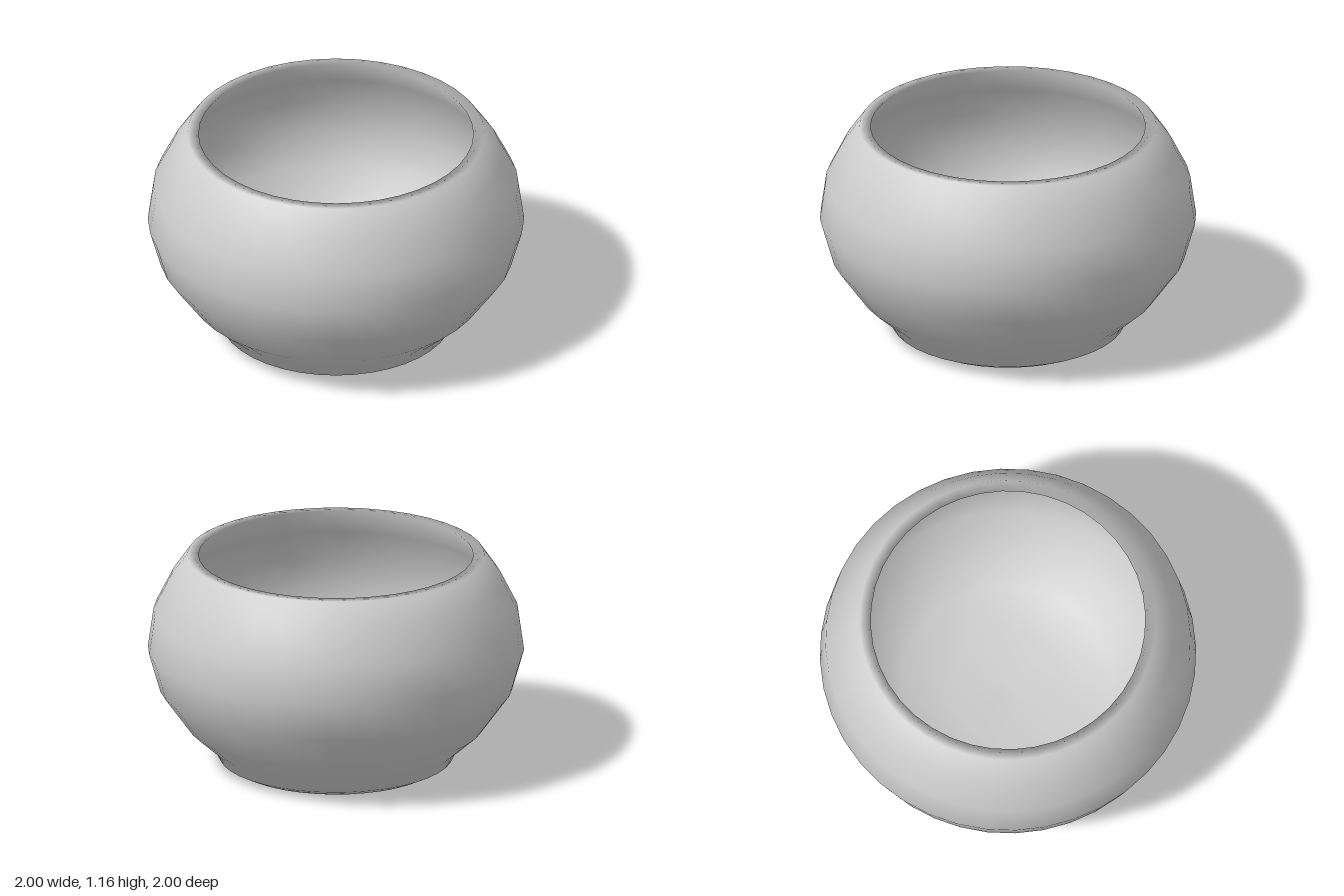
import * as THREE from 'three';

export function createModel() {
  const group = new THREE.Group();
  group.name = 'bowl';
  const grey = new THREE.MeshStandardMaterial({ color: 0xcccccc });
  grey.name = 'plain grey';

  // Radius and height: underside, foot, rounded belly and rim
  const outside = [
    [0, 0], [0.55, 0], [0.62, 0.035], [0.65, 0.095], [0.79, 0.22],
    [0.94, 0.43], [1, 0.64], [0.97, 0.85], [0.88, 1.03], [0.79, 1.16],
  ];
  // Rim lip, then down the hollow to the middle of the floor
  const inside = [
    [0.73, 1.16], [0.82, 1.01], [0.90, 0.84], [0.93, 0.64],
    [0.875, 0.455], [0.735, 0.26], [0.56, 0.14], [0.3, 0.09], [0, 0.08],
  ];
  const profile = [...outside, ...inside].map(([r, y]) => new THREE.Vector2(r, y));

  const body = new THREE.Mesh(new THREE.LatheGeometry(profile, 40), grey);
  body.name = 'bowlBody';
  group.add(body);
  return group;
}
